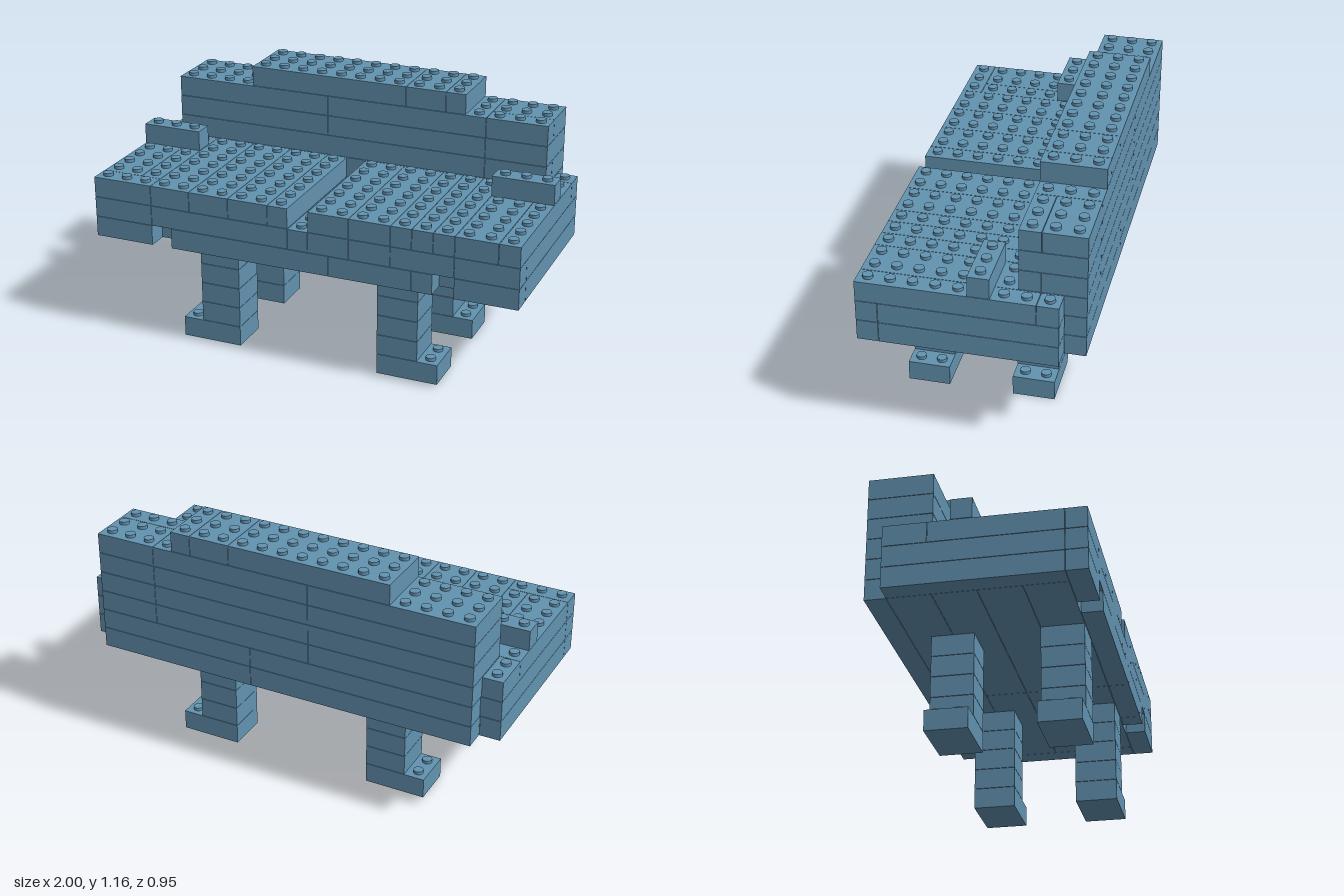
import * as THREE from 'three';
import { mergeGeometries } from 'three/addons/utils/BufferGeometryUtils.js';

const P = 2 / 21;      // stud pitch: 21 columns wide, 10 rows deep
const H = 0.0955;      // layer height
const GAP = 0.002;     // seam between neighbouring bricks
const X = i => -1 + i * P;
const Z = k => (k - 5) * P;

export function createModel() {
  const blue = new THREE.MeshStandardMaterial({ color: 0x6292b0 });
  blue.name = 'dusty blue';
  const model = new THREE.Group();
  model.name = 'brickSofa';

  // Each part is a list of bricks: [layer, column start, end, row start, end]
  const parts = {
    seatBase: [
      ...[[0, 1], [1, 3], [3, 5], [5, 7], [7, 9]].flatMap(([a, b]) =>
        [[5, 1, 12, a, b], [5, 12, 20, a, b]]),
      [5, 0, 1, 1, 9], [5, 20, 21, 1, 9],
      // front row, with a one-stud notch near each end
      [5, 0, 3, 9, 10], [5, 4, 12, 9, 10], [5, 12, 16, 9, 10], [5, 16, 17, 9, 10], [5, 18, 21, 9, 10],
    ],
    seatMiddle: [
      [6, 0, 3, 9, 10], [6, 0, 3, 1, 9], [6, 3, 10, 3, 10],
      [6, 10, 11, 3, 4], [6, 10, 11, 4, 6], [6, 10, 11, 6, 10],
      [6, 11, 13, 3, 10], [6, 13, 15, 3, 10], [6, 15, 18, 3, 10],
      [6, 18, 21, 9, 10], [6, 18, 21, 1, 9],
      [6, 3, 18, 1, 3], [6, 1, 12, 0, 1], [6, 12, 20, 0, 1],
    ],
    // two cushions with a one-stud channel between them
    seatCushions: [
      [7, 0, 3, 9, 10], [7, 0, 2, 3, 9], [7, 2, 3, 3, 9],
      ...[[3, 5], [5, 7], [7, 9], [9, 10], [11, 13], [13, 15], [15, 16], [16, 17], [17, 18], [18, 20]]
        .map(([a, b]) => [7, a, b, 3, 10]),
      [7, 20, 21, 2, 10], [7, 20, 21, 1, 2], [7, 0, 1, 1, 3],
      [7, 1, 9, 0, 3], [7, 9, 17, 0, 3], [7, 17, 20, 0, 2], [7, 17, 20, 2, 3],
    ],
    backrest: [8, 9, 10].flatMap(l => [
      [l, 1, 9, 0, 3], [l, 9, 17, 0, 3],
      ...(l === 9 ? [[l, 17, 20, 0, 3]] : [[l, 17, 20, 0, 2], [l, 17, 20, 2, 3]]),
    ]),
    backrestTop: [[11, 5, 13, 0, 3], [11, 13, 15, 0, 3], [11, 15, 16, 0, 3]],
    rightArm: [[8, 0, 3, 4, 5]],
    leftArm: [[8, 18, 21, 4, 5]],
  };

  // Four legs of stacked bricks, each foot one stud longer outwards
  for (const [end, k] of [['front', 7], ['back', 2]]) {
    for (const side of ['Right', 'Left']) {
      const right = side === 'Right';
      const a = right ? 5 : 14;
      const leg = [right ? [0, 4, 7, k, k + 2] : [0, 14, 17, k, k + 2]];
      for (let l = 1; l < 5; l++) leg.push([l, a, a + 2, k, k + 2]);
      parts[end + side + 'Leg'] = leg;
    }
  }

  // Record the filled cells so that studs appear only on open tops
  const filled = new Set();
  const eachCell = ([l, i0, i1, k0, k1], fn) => {
    for (let i = i0; i < i1; i++) for (let k = k0; k < k1; k++) fn(l, i, k);
  };
  Object.values(parts).flat().forEach(b =>
    eachCell(b, (l, i, k) => filled.add(`${l},${i},${k}`)));

  const studHeight = 0.0145;
  const stud = new THREE.CylinderGeometry(0.0225, 0.0225, studHeight, 16);

  for (const [name, bricks] of Object.entries(parts)) {
    const group = new THREE.Group();
    group.name = name;
    const boxes = [], studs = [];
    for (const b of bricks) {
      const [l, i0, i1, k0, k1] = b;
      boxes.push(new THREE.BoxGeometry((i1 - i0) * P - GAP, H - GAP, (k1 - k0) * P - GAP)
        .translate((X(i0) + X(i1)) / 2, (l + 0.5) * H - GAP / 2, (Z(k0) + Z(k1)) / 2));
      eachCell(b, (l, i, k) => {
        if (!filled.has(`${l + 1},${i},${k}`))
          studs.push(stud.clone().translate(X(i + 0.5), (l + 1) * H - GAP + studHeight / 2, Z(k + 0.5)));
      });
    }
    const add = (list, label) => {
      if (!list.length) return;
      const mesh = new THREE.Mesh(mergeGeometries(list), blue);
      mesh.name = label;
      group.add(mesh);
    };
    add(boxes, name + 'Bricks');
    add(studs, name + 'Studs');
    model.add(group);
  }
  // Rest the feet exactly on the ground
  model.children.forEach(g => { g.position.y = 0; });
  return model;
}
